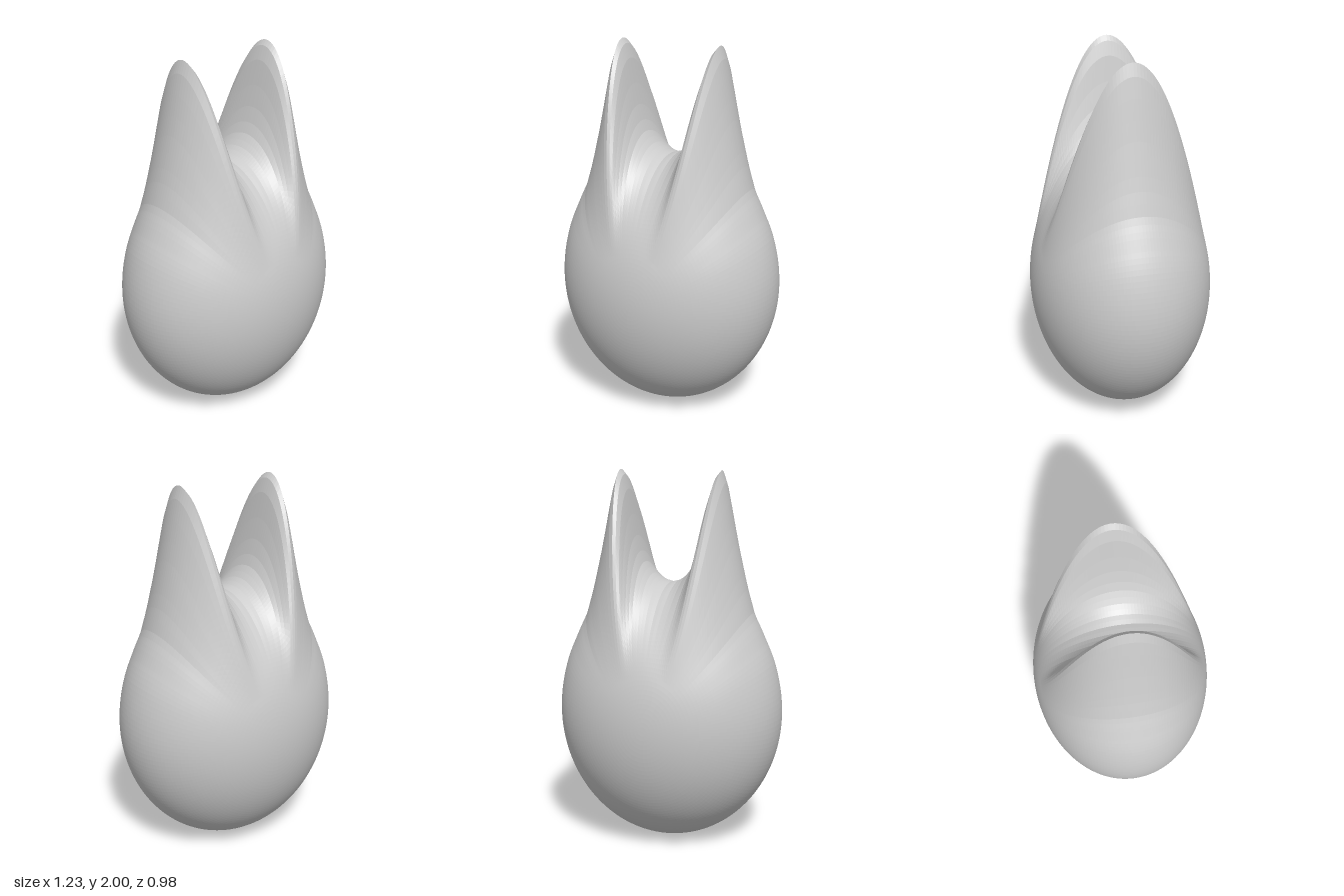
import * as THREE from 'three';

const RX = 0.615, RY = 0.7, RZ = 0.49; // radii of the egg-shaped body

// Lift of the body surface across the width: [distance from middle, lift]
const EAR_SECTION = [
  [0, 0.005], [0.05, 0.02], [0.09, 0.05], [0.14, 0.12], [0.18, 0.23], [0.22, 0.446],
  [0.235, 0.55], [0.258, 0.64], [0.279, 0.677], [0.31, 0.6], [0.325, 0.51], [0.365, 0.34],
  [0.41, 0.18], [0.455, 0.07], [0.52, 0.03], [0.57, 0.02], [0.615, 0],
];

function lift(u) {
  for (let i = 1; i < EAR_SECTION.length; i++) {
    const [x0, y0] = EAR_SECTION[i - 1], [x1, y1] = EAR_SECTION[i];
    if (u <= x1) return THREE.MathUtils.lerp(y0, y1, (u - x0) / (x1 - x0));
  }
  return 0;
}

export function createModel() {
  const group = new THREE.Group();

  // Sphere with poles at front and back, so its meridians follow the ear crests
  const geometry = new THREE.SphereGeometry(1, 160, 90).rotateX(Math.PI / 2);
  const p = geometry.attributes.position;
  for (let i = 0; i < p.count; i++) {
    const x = p.getX(i), y = p.getY(i), z = p.getZ(i);
    let height = RY + RY * y;
    if (y > 0) {
      // Pull two tall ears up out of the top half, fading to front and back
      const u = RX * Math.abs(x) / Math.hypot(x, y);
      const fade = Math.max(0, 1 - (z * RZ / 0.45) ** 2) ** 1.5;
      height += lift(u) * fade;
    }
    p.setXYZ(i, x * RX, height, z * RZ);
  }
  geometry.computeVertexNormals();

  const body = new THREE.Mesh(
    geometry,
    new THREE.MeshStandardMaterial({ color: 0xcccccc, flatShading: true })
  );
  body.name = 'bodyWithEars';
  group.add(body);
  return group;
}
